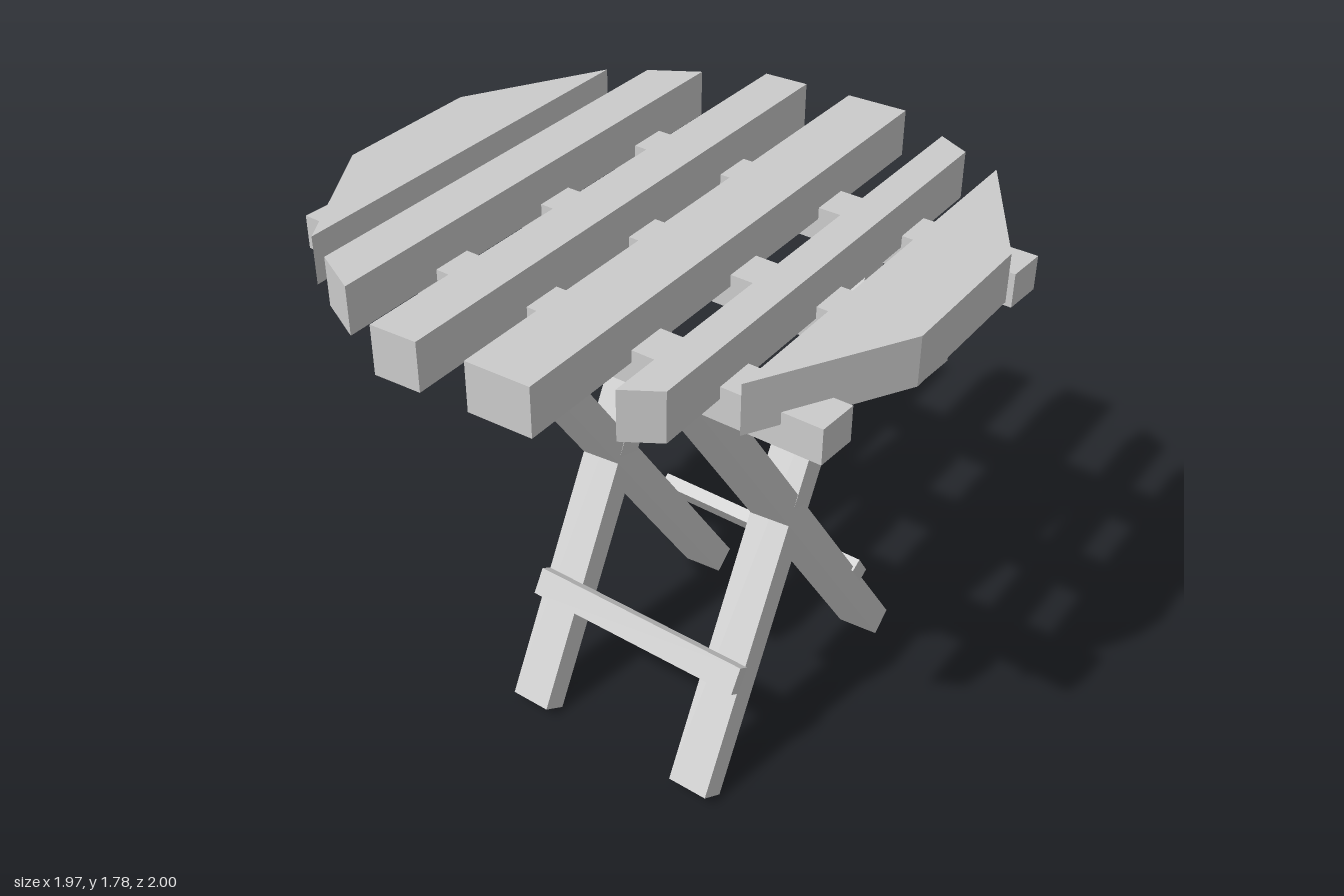
import * as THREE from 'three';

const material = new THREE.MeshStandardMaterial({ color: 0xcccccc, flatShading: true });

function addMesh(parent, geometry, name) {
  const mesh = new THREE.Mesh(geometry, material);
  mesh.name = name;
  parent.add(mesh);
  return mesh;
}

// Square-cut bar running from one point to another; side is its width direction
function bar(from, to, side, width, depth) {
  const d = to.clone().sub(from);
  const length = d.length();
  d.normalize();
  const s = side.clone().normalize();
  const n = s.clone().cross(d).normalize();
  const matrix = new THREE.Matrix4().makeBasis(s, d, n)
    .setPosition(from.clone().add(to).multiplyScalar(0.5));
  return new THREE.BoxGeometry(width, length, depth).applyMatrix4(matrix);
}

export function createModel() {
  const table = new THREE.Group();
  table.name = 'foldingTable';

  // Top slats, outlined as [x, z] corners and trimmed to a rough circle
  const slats = [
    [[-0.75, -0.67], [-0.985, -0.2], [-0.95, 0.32], [-0.66, 0.76]],
    [[-0.64, -0.75], [-0.485, -0.85], [-0.38, 0.9], [-0.545, 0.82]],
    [[-0.305, -0.97], [-0.15, -0.98], [-0.03, 0.99], [-0.185, 1.0]],
    [[0.01, -0.99], [0.22, -1.0], [0.34, 0.97], [0.13, 0.98]],
    [[0.41, -0.905], [0.525, -0.85], [0.62, 0.78], [0.515, 0.85]],
    [[0.66, -0.8], [0.95, -0.36], [0.98, 0.17], [0.745, 0.64]],
  ];
  const top = new THREE.Group();
  top.name = 'tableTop';
  table.add(top);
  slats.forEach((corners, i) => {
    const shape = new THREE.Shape(corners.map(([x, z]) => new THREE.Vector2(x, -z)));
    const geometry = new THREE.ExtrudeGeometry(shape, { depth: 0.155, bevelEnabled: false });
    geometry.rotateX(-Math.PI / 2);
    addMesh(top, geometry, `slat${i + 1}`).position.y = 1.632;
  });

  // Cross beams let into the underside of the slats
  [['backBeam', -0.525], ['middleBeam', -0.025], ['frontBeam', 0.467]].forEach(([name, z]) => {
    addMesh(table, new THREE.BoxGeometry(1.87, 0.11, 0.137), name).position.set(-0.01, 1.615, z);
  });

  // Two crossing leg frames, each a pair of legs joined by a low stretcher
  const frames = [
    { name: 'frontFootFrame', foot: [0.13, 0.028, 0.422], head: [0.058, 1.6, -0.505],
      side: [1, 0, 0], stretcher: [0.409, 0.275] },
    { name: 'backFootFrame', foot: [0.13, 0.062, -0.563], head: [0.058, 1.6, 0.497],
      side: [1, 0.035, -0.05], stretcher: [0.408, -0.42] },
  ];
  for (const frame of frames) {
    const group = new THREE.Group();
    group.name = frame.name;
    table.add(group);
    const foot = new THREE.Vector3(...frame.foot);
    const head = new THREE.Vector3(...frame.head);
    const side = new THREE.Vector3(...frame.side);
    for (const [name, offset] of [['rightLeg', -0.33], ['leftLeg', 0.33]]) {
      const shift = side.clone().multiplyScalar(offset);
      addMesh(group, bar(foot.clone().add(shift), head.clone().add(shift), side, 0.142, 0.093), name);
    }
    // Stretcher lies flat on the outer face of the legs
    const stretcher = addMesh(group, new THREE.BoxGeometry(0.81, 0.09, 0.045), 'stretcher');
    stretcher.position.set(0.115, ...frame.stretcher);
    stretcher.rotation.x = Math.atan2(head.z - foot.z, head.y - foot.y);
  }
  return table;
}
